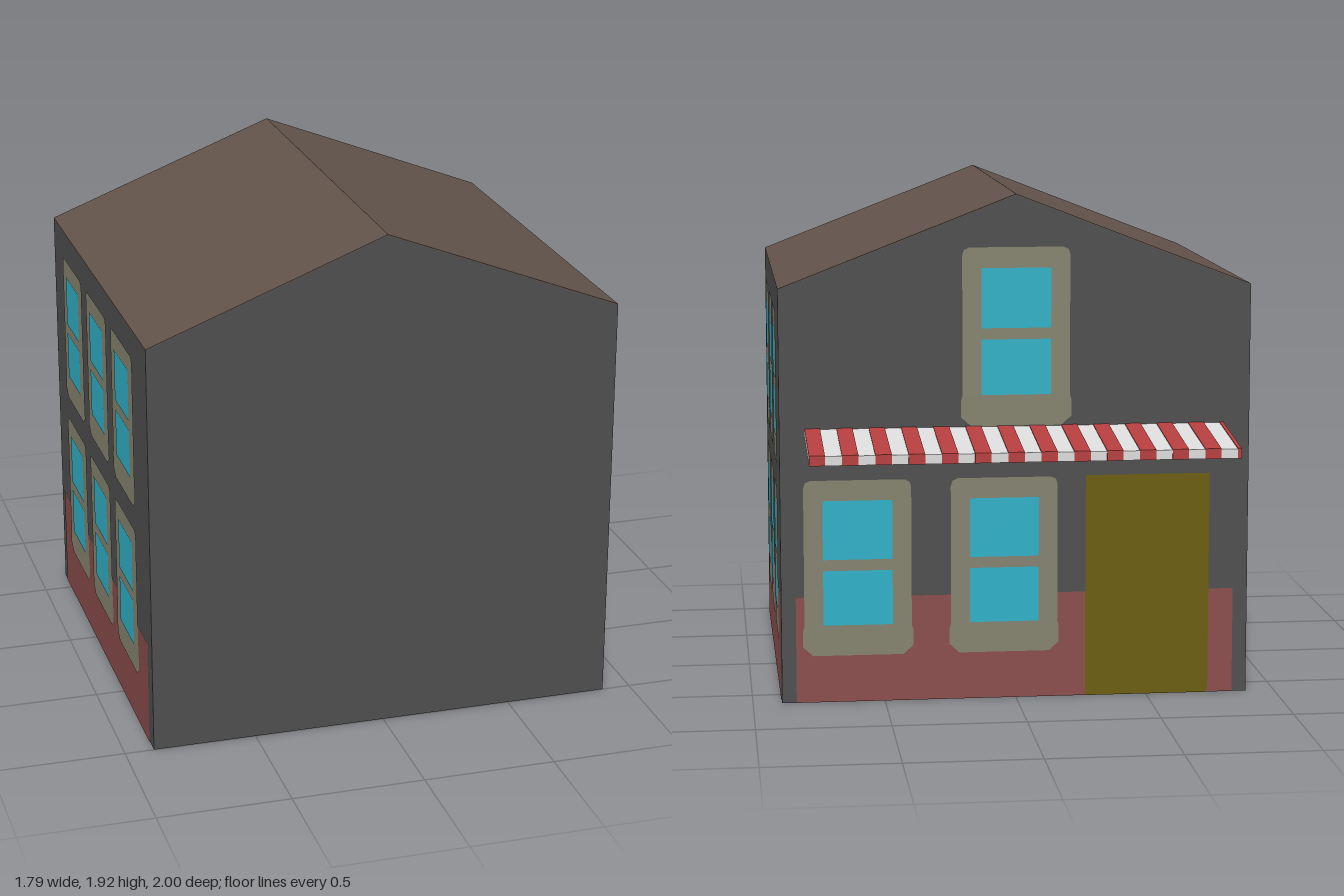
import * as THREE from 'three';

const mat = (name, color) => {
  const m = new THREE.MeshStandardMaterial({ color });
  m.name = name;
  return m;
};

export function createModel() {
  const wallGrey = mat('wall grey', 0x4e4e4e);
  const roofBrown = mat('roof brown', 0x62534a);
  const frameStone = mat('window frame stone', 0x84826e);
  const glassBlue = mat('glass blue', 0x2fb0c6);
  const plinthRed = mat('plinth red', 0x8a4c4c);
  const doorOlive = mat('door olive', 0x6a5d0c);
  const awningWhite = mat('awning white', 0xdcdcdc);
  const awningRed = mat('awning red', 0xb63e3e);

  const W = 0.89, BACK = -0.63, FRONT = 1, EAVE = 1.575, RIDGE = 1.92;
  const house = new THREE.Group();
  house.name = 'house';

  const add = (parent, name, geometry, material) => {
    const mesh = new THREE.Mesh(geometry, material);
    mesh.name = name;
    parent.add(mesh);
    return mesh;
  };
  const polygon = (pts) => new THREE.Shape(pts.map(([x, y]) => new THREE.Vector2(x, y)));
  const extrude = (pts, depth) =>
    new THREE.ExtrudeGeometry(polygon(pts), { depth, bevelEnabled: false });

  // Walls with gables
  const skin = 0.004;
  add(house, 'walls', extrude(
    [[-W, 0], [W, 0], [W, EAVE - skin], [0, RIDGE - skin], [-W, EAVE - skin]],
    FRONT - BACK), wallGrey).position.z = BACK;

  // Thin roof covering, flush with the walls
  add(house, 'roof', extrude(
    [[-W, EAVE - skin], [0, RIDGE - skin], [W, EAVE - skin], [W, EAVE], [0, RIDGE], [-W, EAVE]],
    FRONT - BACK), roofBrown).position.z = BACK;

  // Painted faces lie in layers just above a wall, facing local +z
  const face = (parent, name, pts, layer, material) => {
    add(parent, name, new THREE.ShapeGeometry(polygon(pts)), material).position.z = layer * 0.002;
  };
  const rect = (x0, x1, y0, y1) => [[x0, y0], [x1, y0], [x1, y1], [x0, y1]];

  // Window: frame with a wider sill and two panes
  const half = [[0.15, 0], [0.183, 0.03], [0.183, 0.085], [0.178, 0.1],
    [0.178, 0.565], [0.172, 0.582], [0.155, 0.59]];
  const outline = [...half, ...half.map(([x, y]) => [-x, y]).reverse()];
  const addWindow = (wall, x, y, scale) => {
    const win = new THREE.Group();
    win.name = 'window';
    win.position.set(x, y, 0);
    win.scale.set(scale, scale, 1);
    face(win, 'windowFrame', outline, 2, frameStone);
    face(win, 'lowerPane', rect(-0.115, 0.115, 0.103, 0.287), 3, glassBlue);
    face(win, 'upperPane', rect(-0.115, 0.115, 0.324, 0.522), 3, glassBlue);
    wall.add(win);
  };

  const makeWall = (name, position, turn) => {
    const wall = new THREE.Group();
    wall.name = name;
    wall.position.set(...position);
    wall.rotation.y = turn;
    house.add(wall);
    return wall;
  };

  // Side walls: plinth and two rows of three windows
  for (const side of [1, -1]) {
    const wall = makeWall(side > 0 ? 'leftWallDetails' : 'rightWallDetails',
      [side * W, 0, 0], side * Math.PI / 2);
    const ends = [-side * 0.935, side * 0.58].sort((a, b) => a - b);
    face(wall, 'plinth', rect(ends[0], ends[1], 0, 0.405), 1, plinthRed);
    for (const z of [0.61, 0.17, -0.27]) {
      for (const y of [0.2, 0.88]) addWindow(wall, -side * z, y, 1);
    }
  }

  // Back wall: plinth, door, larger windows (local x runs opposite to model x)
  const back = makeWall('backWallDetails', [0, 0, BACK], Math.PI);
  face(back, 'plinth', rect(-0.835, 0.835, 0, 0.405), 1, plinthRed);
  face(back, 'door', rect(0.265, 0.74, 0, 0.855), 2, doorOlive);
  addWindow(back, -0.6, 0.18, 1.14);
  addWindow(back, -0.045, 0.18, 1.14);
  addWindow(back, 0, 1.05, 1.14);

  // Sloping awning: white slab with red stripes over its top and front edge
  const awning = new THREE.Group();
  awning.name = 'awning';
  awning.position.z = BACK;
  awning.rotation.y = Math.PI / 2;
  house.add(awning);
  const t = 0.003, reach = 0.37;
  const strip = (name, x0, x1, pts, material) => {
    add(awning, name, extrude(pts, x1 - x0), material).position.z = x0;
  };
  strip('awningSlab', -0.79, 0.795,
    [[0, 1.013], [reach - t, 0.972], [reach - t, 1.01 - t], [0, 1.05 - t]], awningWhite);
  for (let i = -1; i < 13; i++) {
    const start = -0.715 + i * 0.121;
    strip('awningStripe', Math.max(start, -0.79), Math.min(start + 0.06, 0.795),
      [[0, 1.05 - t], [reach - t, 1.01 - t], [reach - t, 0.972], [reach, 0.972],
        [reach, 1.01], [0, 1.05]], awningRed);
  }
  return house;
}
